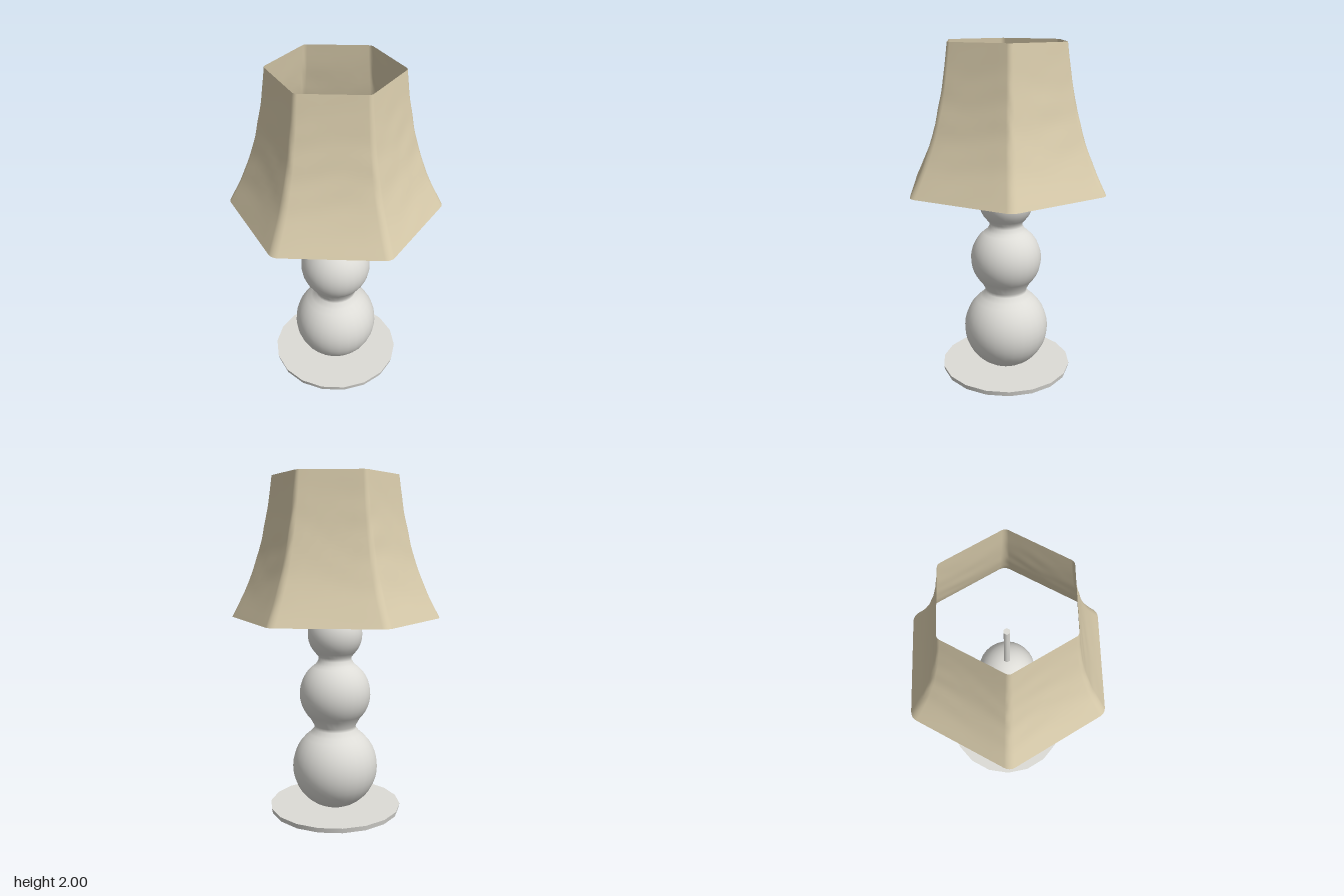
import * as THREE from 'three';

const fabric = new THREE.MeshStandardMaterial({ name: 'beige fabric', color: 0xd8cbab, side: THREE.DoubleSide });
const ceramic = new THREE.MeshStandardMaterial({ name: 'pale grey', color: 0xdddcd7 });

function addPart(group, name, geometry, material, y = 0) {
  const mesh = new THREE.Mesh(geometry, material);
  mesh.name = name;
  mesh.position.y = y;
  group.add(mesh);
}

// Points of a ball profile between two elevation angles
function ballArc(centreY, radius, from, to, steps = 14) {
  return Array.from({ length: steps + 1 }, (_, i) => {
    const a = from + (to - from) * i / steps;
    return new THREE.Vector2(Math.max(0, radius * Math.cos(a)), centreY + radius * Math.sin(a));
  });
}

// Outline of a hexagon with rounded corners, corners on the z axis
function roundedHexagon(apothem, fillet) {
  const ring = [];
  const reach = (apothem - fillet) / Math.cos(Math.PI / 6);
  for (let k = 0; k < 6; k++) {
    const corner = k * Math.PI / 3;
    for (let s = 0; s <= 4; s++) {
      const a = corner + (s / 4 - 0.5) * Math.PI / 3;
      ring.push(new THREE.Vector2(
        reach * Math.sin(corner) + fillet * Math.sin(a),
        reach * Math.cos(corner) + fillet * Math.cos(a)));
    }
    // Extra points along the flat side
    const next = corner + Math.PI / 3, mid = corner + Math.PI / 6;
    for (let s = 1; s <= 5; s++) {
      const t = s / 6;
      ring.push(new THREE.Vector2(
        reach * ((1 - t) * Math.sin(corner) + t * Math.sin(next)) + fillet * Math.sin(mid),
        reach * ((1 - t) * Math.cos(corner) + t * Math.cos(next)) + fillet * Math.cos(mid)));
    }
  }
  return ring;
}

// Flared hexagonal shade, open at both ends, with faint cloth ripples
function shadeGeometry() {
  const profile = new THREE.SplineCurve([
    [0.54, 1.18], [0.465, 1.35], [0.408, 1.52], [0.37, 1.68], [0.342, 1.84], [0.322, 2.0],
  ].map(([x, y]) => new THREE.Vector2(x, y)));
  const rows = 24, positions = [], index = [];
  let count = 0;
  for (let j = 0; j <= rows; j++) {
    const p = profile.getPoint(j / rows);
    const ring = roundedHexagon(p.x, 0.03 + 0.03 * (1 - j / rows));
    count = ring.length;
    const fade = Math.sin(Math.PI * j / rows);
    ring.forEach((q, i) => {
      const a = i / count * Math.PI * 2;
      const ripple = 1 + 0.005 * fade * Math.sin(p.y * 31 + 3 * Math.sin(a * 5)) * Math.sin(a * 7 + p.y * 6);
      positions.push(q.x * ripple, p.y, q.y * ripple);
    });
  }
  for (let j = 0; j < rows; j++) {
    for (let i = 0; i < count; i++) {
      const a = j * count + i, b = j * count + (i + 1) % count;
      index.push(a, b, b + count, a, b + count, a + count);
    }
  }
  const geometry = new THREE.BufferGeometry();
  geometry.setAttribute('position', new THREE.Float32BufferAttribute(positions, 3));
  geometry.setIndex(index);
  geometry.computeVertexNormals();
  return geometry;
}

export function createModel() {
  const lamp = new THREE.Group();
  lamp.name = 'tableLamp';

  // Thin round foot
  addPart(lamp, 'base', new THREE.CylinderGeometry(0.397, 0.39, 0.03, 18), ceramic, 0.015);

  // Three stacked balls joined by soft necks
  const column = [
    ...ballArc(0.27, 0.257, -1.205, 0.93),
    new THREE.Vector2(0.127, 0.505),
    new THREE.Vector2(0.126, 0.525),
    ...ballArc(0.72, 0.213, -0.781, 1.0),
    new THREE.Vector2(0.1, 0.925),
    new THREE.Vector2(0.1, 0.945),
    ...ballArc(1.08, 0.163, -0.76, Math.PI / 2),
  ];
  addPart(lamp, 'column', new THREE.LatheGeometry(column, 28), ceramic);

  // Slim rod rising inside the shade
  addPart(lamp, 'rod', new THREE.CylinderGeometry(0.019, 0.019, 0.42, 6), ceramic, 1.42);

  addPart(lamp, 'shade', shadeGeometry(), fabric);
  return lamp;
}
